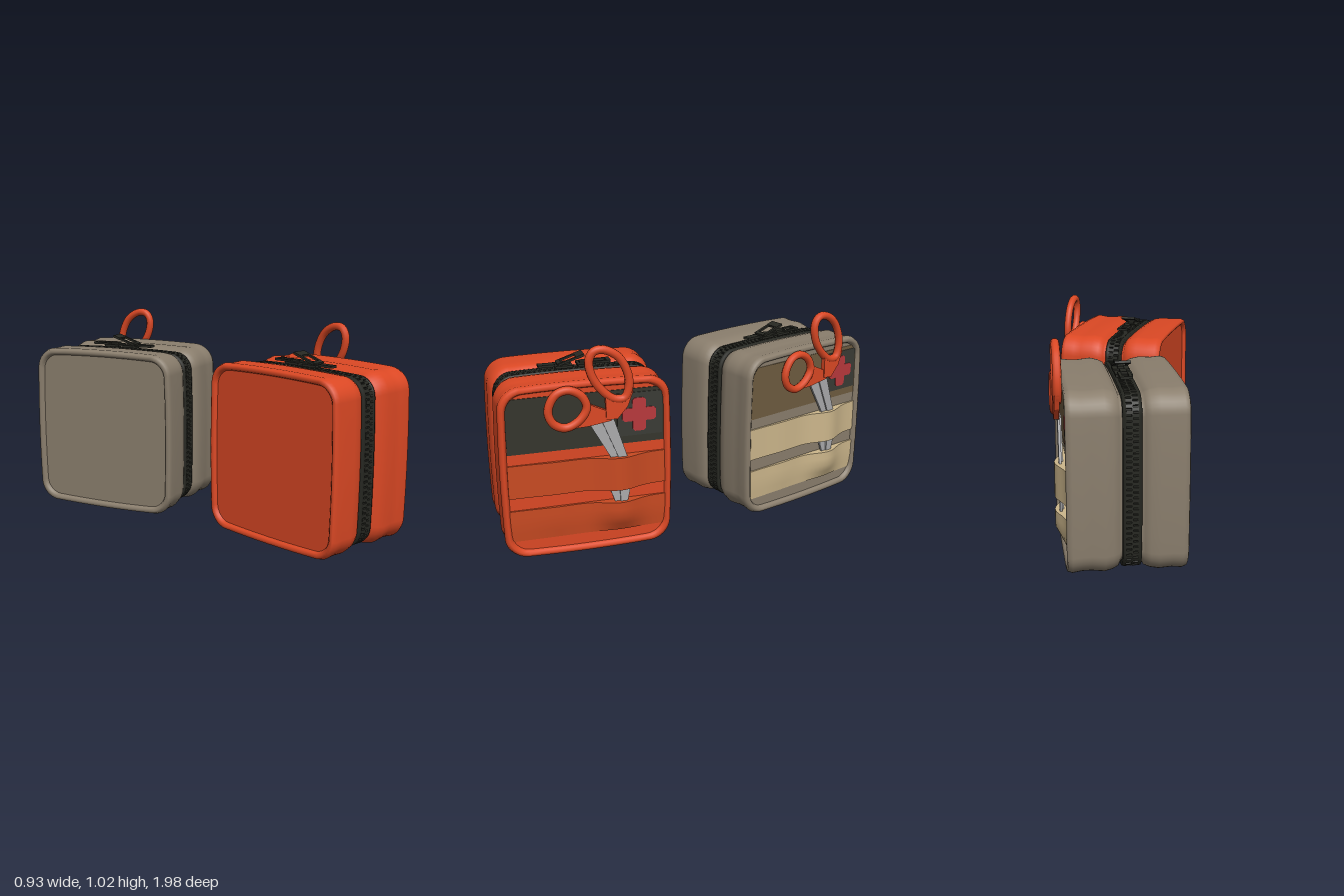
import * as THREE from 'three';
import { mergeGeometries, toCreasedNormals } from 'three/addons/utils/BufferGeometryUtils.js';

const mat = (name, color) => {
  const m = new THREE.MeshStandardMaterial({ color });
  m.name = name;
  return m;
};
const M = {
  orange: mat('orange', 0xdb4824), orangeStrap: mat('orange strap', 0xc84a22),
  taupe: mat('taupe', 0x8a7e6d), tan: mat('tan strap', 0xcdb78c),
  darkWindow: mat('dark window', 0x35352c), brownWindow: mat('brown window', 0x6e5c40),
  patch: mat('patch', 0x3a3b35), red: mat('red', 0xb8383c),
  steel: mat('steel', 0xaaaaac), black: mat('zipper black', 0x272822),
};

const W = 0.408, H = 0.427, CY = 0.43, ZIP = -0.018;

// Pillowy rounded-rectangle outline, counter-clockwise, shrunk by an inset
function outline(inset) {
  const a = W - inset, h = H - inset, r = 0.1 - inset * 0.6, pts = [];
  const corners = [[1, -1], [1, 1], [-1, 1], [-1, -1]];
  const pillow = (x, y) => new THREE.Vector2(
    x * (1 - 0.025 * (y / h) ** 2), CY + y * (1 - 0.025 * (x / a) ** 2));
  corners.forEach(([sx, sy], k) => {
    for (let i = 0; i <= 8; i++) {
      const t = (k - 1 + i / 8) * Math.PI / 2;
      pts.push([sx * (a - r) + r * Math.cos(t), sy * (h - r) + r * Math.sin(t)]);
    }
    // points along the following straight side
    const [nx, ny] = corners[(k + 1) % 4], e = k * Math.PI / 2;
    const p = pts[pts.length - 1];
    const q = [nx * (a - r) + r * Math.cos(e), ny * (h - r) + r * Math.sin(e)];
    for (let i = 1; i < 8; i++) pts.push([p[0] + (q[0] - p[0]) * i / 8, p[1] + (q[1] - p[1]) * i / 8]);
  });
  return pts.map(([x, y]) => pillow(x, y));
}

// Skin through outlines given as [depth, inset]
function loft(sections) {
  const pos = [], idx = [];
  let n = 0;
  sections.forEach(([z, inset], i) => {
    const ring = outline(inset);
    n = ring.length;
    ring.forEach((p, j) => {
      pos.push(p.x, p.y, z);
      if (i === 0) return;
      const a = (i - 1) * n + j, b = (i - 1) * n + (j + 1) % n;
      idx.push(a, b, b + n, a, b + n, a + n);
    });
  });
  const g = new THREE.BufferGeometry();
  g.setAttribute('position', new THREE.Float32BufferAttribute(pos, 3));
  g.setIndex(idx);
  g.computeVertexNormals();
  return g;
}

const box = (w, h, d, x, y, z, tilt = 0) =>
  new THREE.BoxGeometry(w, h, d).rotateZ(tilt).translate(x, y, z);

function plate(points, depth, z) {
  const s = new THREE.Shape(points.map(p => new THREE.Vector2(p[0], p[1])));
  return new THREE.ExtrudeGeometry(s, { depth, bevelEnabled: false }).translate(0, 0, z);
}

// Elastic band that bulges over the scissors; a sewn band flattens at its foot
function strap(y0, y1, sewn) {
  const shape = new THREE.Shape([new THREE.Vector2(-0.372, -0.25)]);
  for (let i = 0; i <= 32; i++) {
    const u = -0.372 + 0.744 * i / 32;
    const w = 0.258 + 0.048 * Math.exp(-(((u - 0.15) / 0.1) ** 2)) + 0.006 * Math.exp(-(((u + 0.15) / 0.1) ** 2));
    shape.lineTo(u, -w);
  }
  shape.lineTo(0.372, -0.25);
  const g = new THREE.ExtrudeGeometry(shape, { depth: y1 - y0, steps: 4, bevelEnabled: false });
  g.rotateX(-Math.PI / 2).translate(0, y0, 0);
  const p = g.attributes.position;
  for (let i = 0; sewn && i < p.count; i++) {
    const k = Math.min(1, 0.25 + 0.75 * (p.getY(i) - y0) / 0.08);
    p.setZ(i, 0.25 + (p.getZ(i) - 0.25) * k);
  }
  return toCreasedNormals(g, 0.6);
}

function loop(points) {
  const curve = new THREE.CatmullRomCurve3(points.map(([u, y]) => new THREE.Vector3(u, y, 0.288)), true);
  return new THREE.TubeGeometry(curve, 48, 0.02, 10, true);
}

function zipperTeeth() {
  const curve = new THREE.CatmullRomCurve3(
    outline(0.024).map(p => new THREE.Vector3(p.x, p.y, 0)), true);
  const parts = [], count = 116;
  for (let i = 0; i < count * 2; i++) {
    const t = i / (count * 2), p = curve.getPointAt(t), d = curve.getTangentAt(t);
    parts.push(box(0.017, 0.014, 0.03, p.x, p.y, 0).translate(-p.x, -p.y, 0)
      .rotateZ(Math.atan2(d.y, d.x)).translate(p.x, p.y, ZIP + (i % 2 ? 0.012 : -0.012)));
  }
  return mergeGeometries(parts);
}

function makeBag(name, shell, strapMat, windowMat) {
  const bag = new THREE.Group();
  bag.name = name;
  const add = (label, geo, m) => {
    const mesh = new THREE.Mesh(geo, m);
    mesh.name = label;
    bag.add(mesh);
  };

  // Padded shell with raised rims and a groove for the zipper
  add('shell', loft([
    [-0.25, 0.037], [-0.263, 0.031], [-0.271, 0.021], [-0.266, 0.008], [-0.245, 0.001],
    [-0.2, 0.005], [-0.14, 0.002], [-0.1, 0.009], [-0.075, 0.02], [-0.062, 0.042],
    [0.026, 0.042], [0.04, 0.02], [0.065, 0.009], [0.1, 0.001], [0.16, 0.007],
    [0.2, 0.007], [0.245, 0.001], [0.266, 0.008], [0.271, 0.021], [0.263, 0.031], [0.25, 0.037],
  ]), shell);
  const face = () => new THREE.ShapeGeometry(new THREE.Shape(outline(0.037)));
  add('frontPanel', face().translate(0, 0, 0.25), shell);
  add('backPanel', face().scale(-1, 1, 1).rotateY(Math.PI).scale(-1, 1, 1)
    .translate(0, 0, -0.25), shell);

  // Zipper tape, edge cords and teeth
  add('zipperTape', loft([[-0.06, 0.04], [-0.06, 0.02], [-0.046, 0.017], [-0.042, 0.028],
    [0.006, 0.028], [0.01, 0.017], [0.024, 0.02], [0.024, 0.04]]), M.black);
  add('zipperTeeth', zipperTeeth(), M.black);

  // Two sliders on top, one pull raised and one lying flat
  const pulls = [];
  for (const u of [-0.05, 0.06]) {
    pulls.push(box(0.085, 0.012, 0.078, u, 0.853, ZIP), box(0.06, 0.01, 0.03, u, 0.864, ZIP));
  }
  for (const s of [-1, 1]) {
    pulls.push(box(0.12, 0.01, 0.014, -0.02, 0.882, ZIP + s * 0.03, 0.32),
      box(0.1, 0.01, 0.014, 0.125, 0.861, ZIP + s * 0.022));
  }
  pulls.push(box(0.04, 0.012, 0.075, 0.03, 0.898, ZIP, 0.32), box(0.02, 0.012, 0.06, -0.07, 0.866, ZIP, 0.32),
    box(0.02, 0.012, 0.055, 0.168, 0.861, ZIP), box(0.08, 0.012, 0.04, -0.13, 0.858, ZIP));
  add('zipperPulls', mergeGeometries(pulls), M.black);

  // Window with its badge
  add('window', box(0.738, 0.265, 0.006, 0, 0.6625, 0.251), windowMat);
  add('badge', box(0.215, 0.21, 0.006, 0.253, 0.672, 0.255), M.patch);
  const a = 0.081, b = 0.032, c = 0.011, cross = [];
  for (let k = 0; k < 4; k++) {
    const cos = Math.round(Math.cos(k * Math.PI / 2)), sin = Math.round(Math.sin(k * Math.PI / 2));
    for (const [x, y] of [[b, -b], [a - c, -b], [a, c - b], [a, b - c], [a - c, b]]) {
      cross.push([0.25 + x * cos - y * sin, 0.67 + x * sin + y * cos]);
    }
  }
  add('cross', plate(cross, 0.006, 0.256), M.red);

  // Elastic straps
  add('upperStrap', strap(0.315, 0.477, false), strapMat);
  add('lowerStrap', strap(0.095, 0.252, true), strapMat);

  // Scissors tucked under the straps
  add('leftBlade', plate([[0.003, 0.665], [0.08, 0.665], [0.145, 0.48], [0.155, 0.2], [0.14, 0.2],
    [0.105, 0.3], [0.105, 0.48]], 0.012, 0.266), M.steel);
  add('rightBlade', plate([[0.06, 0.68], [0.12, 0.68], [0.183, 0.48], [0.193, 0.3], [0.17, 0.2],
    [0.15, 0.2], [0.14, 0.48]], 0.012, 0.274), M.steel);
  add('largeHandle', loop([[0.078, 1.003], [0.148, 0.965], [0.191, 0.885], [0.196, 0.815], [0.175, 0.767],
    [0.127, 0.767], [0.068, 0.815], [0.025, 0.885], [0.014, 0.955], [0.035, 0.995]]), M.orange);
  add('smallHandle', loop([[-0.179, 0.735], [-0.142, 0.81], [-0.083, 0.826], [-0.024, 0.794],
    [-0.002, 0.735], [-0.04, 0.676], [-0.104, 0.649], [-0.158, 0.676]]), M.orange);
  add('smallHandleArm', plate([[-0.06, 0.645], [0.003, 0.648], [0.11, 0.665], [0.1, 0.71],
    [0.014, 0.75], [-0.018, 0.79], [0.005, 0.735], [-0.04, 0.676]], 0.024, 0.274), M.orange);
  add('largeHandleArm', plate([[0.085, 0.675], [0.137, 0.672], [0.187, 0.73], [0.213, 0.8],
    [0.175, 0.767], [0.127, 0.767], [0.083, 0.79]], 0.024, 0.28), M.orange);
  return bag;
}

export function createModel() {
  const model = new THREE.Group();
  model.name = 'firstAidBags';
  const front = makeBag('orangeBag', M.orange, M.orangeStrap, M.darkWindow);
  front.position.set(0.157, 0, 0.585);
  front.rotation.y = Math.PI / 2;
  const back = makeBag('taupeBag', M.taupe, M.tan, M.brownWindow);
  back.position.set(-0.073, 0, -0.522);
  back.rotation.y = Math.PI / 2 + 0.37;
  model.add(front, back);
  return model;
}
